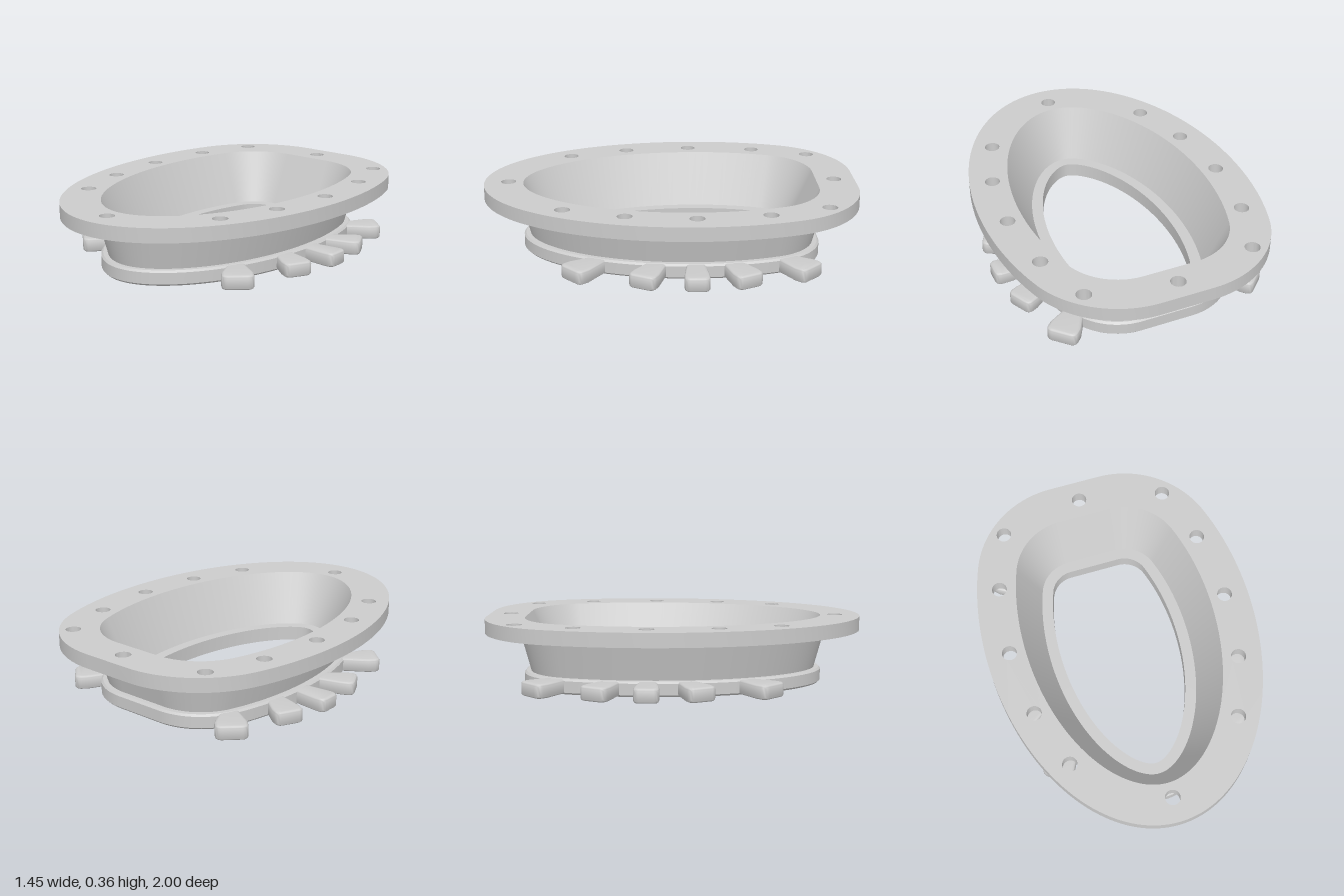
import * as THREE from 'three';
import { toCreasedNormals } from 'three/addons/utils/BufferGeometryUtils.js';

const material = new THREE.MeshStandardMaterial({ color: 0xcccccc });

// Egg-shaped outline with a flat back, offset inward by d. Points are (x, z).
function outline(d) {
  const half = [];
  const rad = THREE.MathUtils.degToRad;
  // back corner arc
  for (let i = 0; i <= 20; i++) {
    const a = rad(-90 + (73 * i) / 20);
    half.push(new THREE.Vector2(0.14 + (0.53 - d) * Math.cos(a), -0.47 + (0.53 - d) * Math.sin(a)));
  }
  // long elliptical side and front
  const A = 0.725, B = 1.12;
  for (let i = 1; i <= 48; i++) {
    const t = rad(-26.8 + (116.8 * i) / 48);
    const n = new THREE.Vector2(Math.cos(t) / A, Math.sin(t) / B).normalize();
    half.push(new THREE.Vector2(A * Math.cos(t) - n.x * d, -0.12 + B * Math.sin(t) - n.y * d));
  }
  const mirrored = half.slice(0, -1).reverse().map((p) => new THREE.Vector2(-p.x, p.y));
  return [...half, ...mirrored];
}

// Sweeps a closed section of [inset, y] pairs round the outline, sharp at section corners.
function sweep(section) {
  const pos = [], index = [];
  section.forEach((from, s) => {
    const to = section[(s + 1) % section.length];
    const lower = outline(from[0]), upper = outline(to[0]);
    const n = lower.length, base = pos.length / 3;
    for (let i = 0; i < n; i++) {
      pos.push(lower[i].x, from[1], lower[i].y, upper[i].x, to[1], upper[i].y);
      const a = base + 2 * i, b = base + 2 * ((i + 1) % n);
      index.push(a, a + 1, b, a + 1, b + 1, b);
    }
  });
  const g = new THREE.BufferGeometry();
  g.setAttribute('position', new THREE.Float32BufferAttribute(pos, 3));
  g.setIndex(index);
  g.computeVertexNormals();
  return g;
}

// Flat flange with bolt holes
function flangeGeometry() {
  const shape = new THREE.Shape(outline(0));
  shape.holes.push(new THREE.Path(outline(0.21)));
  const bolts = [[0, -0.89], [0, 0.87]];
  for (const [x, z] of [[0.455, -0.8], [0.56, -0.49], [0.6, -0.12], [0.56, 0.24], [0.455, 0.555]]) {
    bolts.push([x, z], [-x, z]);
  }
  for (const [x, z] of bolts) {
    shape.holes.push(new THREE.Path().absarc(x, z, 0.04, 0, Math.PI * 2, true));
  }
  const g = new THREE.ExtrudeGeometry(shape, { depth: 0.075, bevelEnabled: false, curveSegments: 16 });
  g.rotateX(Math.PI / 2).translate(0, 0.36, 0);
  return toCreasedNormals(g, 0.6);
}

// Tab that widens toward a rounded tip at the local origin, pointing along +x
function tabGeometry(length, tipHalf) {
  const b = 0.015, w = tipHalf - b, neck = 0.03, r = 0.02;
  const s = new THREE.Shape();
  s.moveTo(-length, -neck);
  s.lineTo(-b - 0.05, -w);
  s.lineTo(-b - r, -w);
  s.quadraticCurveTo(-b, -w, -b, -w + r);
  s.lineTo(-b, w - r);
  s.quadraticCurveTo(-b, w, -b - r, w);
  s.lineTo(-b - 0.05, w);
  s.lineTo(-length, neck);
  s.closePath();
  const g = new THREE.ExtrudeGeometry(s, {
    depth: 0.075 - 2 * b, bevelSize: b, bevelThickness: b, bevelSegments: 4, curveSegments: 6,
  });
  g.rotateX(Math.PI / 2).translate(0, 0.078 - b, 0);
  return toCreasedNormals(g, 0.7);
}

export function createModel() {
  const group = new THREE.Group();
  const add = (name, geometry) => {
    const mesh = new THREE.Mesh(geometry, material);
    mesh.name = name;
    group.add(mesh);
    return mesh;
  };

  add('flange', flangeGeometry());

  // Tapered funnel wall standing on the base ring
  add('funnelAndBaseRing', sweep([
    [0.395, 0], [0.215, 0], [0.205, 0.01], [0.205, 0.07], [0.215, 0.08], [0.24, 0.08],
    [0.185, 0.285], [0.21, 0.36], [0.335, 0.08], [0.395, 0.08],
  ]));

  // Splayed tabs: tip x, tip z, direction in degrees, length, half width at the tip
  const tabs = [
    [0.545, 0.525, 48, 0.2, 0.082],
    [0.655, 0.165, 27, 0.22, 0.075],
    [0.7, -0.12, 0, 0.24, 0.065],
    [0.655, -0.395, -27, 0.22, 0.075],
    [0.55, -0.72, -46, 0.2, 0.082],
  ];
  tabs.forEach(([x, z, degrees, length, half], i) => {
    const geometry = tabGeometry(length, half);
    const a = THREE.MathUtils.degToRad(degrees);
    const left = add(`leftTab${i + 1}`, geometry);
    left.position.set(x, 0, z);
    left.rotation.y = -a;
    const right = add(`rightTab${i + 1}`, geometry);
    right.position.set(-x, 0, z);
    right.rotation.y = Math.PI + a;
  });

  return group;
}
